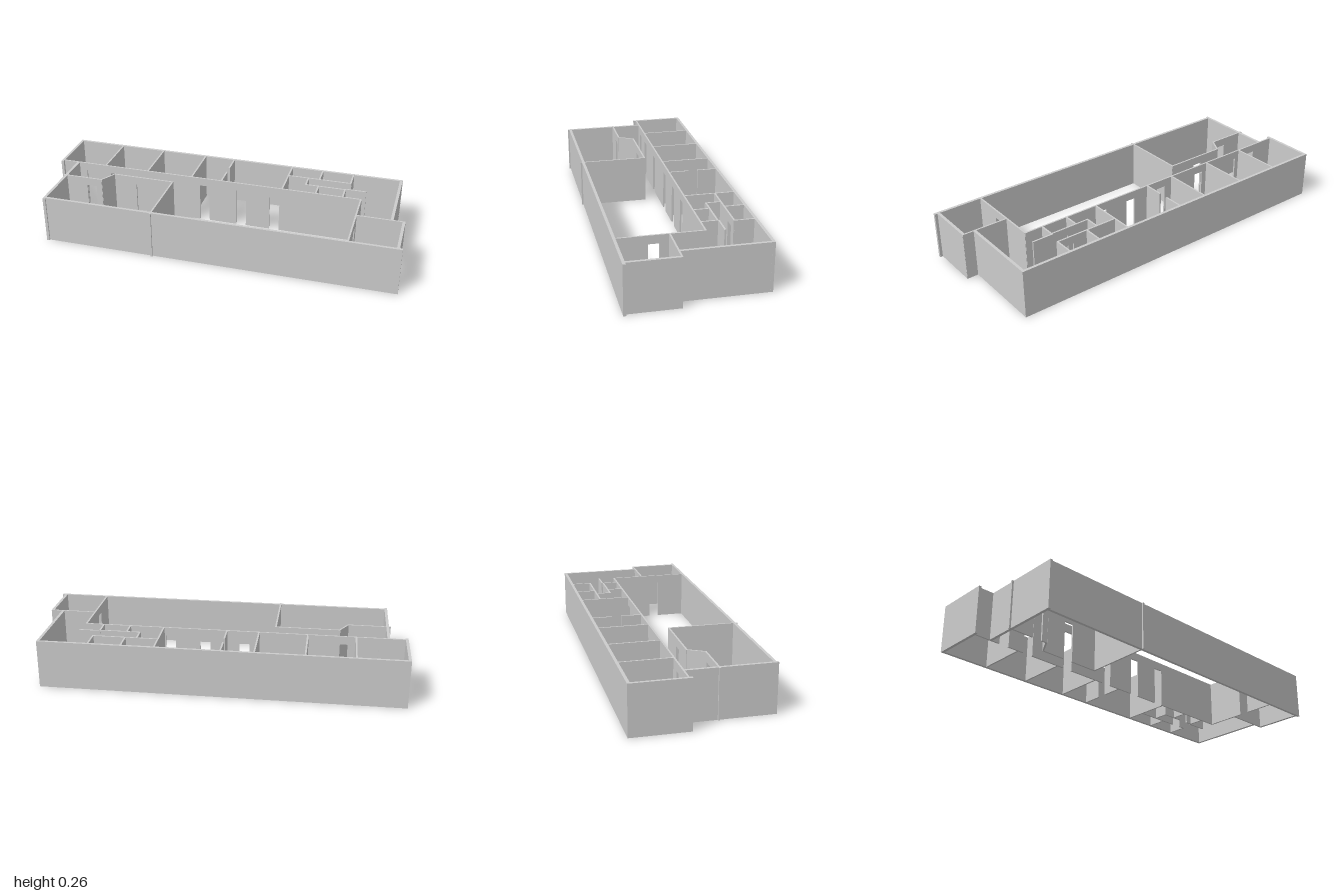
import * as THREE from 'three';

const HEIGHT = 0.26;
const DOOR_HEIGHT = 0.215;
const DOOR_WIDTH = 0.055;
const OUTER = 0.015;
const INNER = 0.009;
const material = new THREE.MeshStandardMaterial({ color: 0xcccccc, flatShading: true });

// Upright wall from (x0, z0) to (x1, z1); doors are start distances along it, in order
function wall(name, [x0, z0, x1, z1], thickness, doors = []) {
  const length = Math.hypot(x1 - x0, z1 - z0);
  const shape = new THREE.Shape();
  shape.moveTo(0, 0);
  for (const d of doors) {
    shape.lineTo(d, 0);
    shape.lineTo(d, DOOR_HEIGHT);
    shape.lineTo(d + DOOR_WIDTH, DOOR_HEIGHT);
    shape.lineTo(d + DOOR_WIDTH, 0);
  }
  shape.lineTo(length, 0);
  shape.lineTo(length, HEIGHT);
  shape.lineTo(0, HEIGHT);
  shape.closePath();
  const geometry = new THREE.ExtrudeGeometry(shape, { depth: thickness, bevelEnabled: false });
  geometry.translate(0, 0, -thickness / 2);
  const mesh = new THREE.Mesh(geometry, material);
  mesh.name = name;
  mesh.position.set(x0, 0, z0);
  mesh.rotation.y = -Math.atan2(z1 - z0, x1 - x0);
  return mesh;
}

// Walls along x or z; doors are given by their x or z position
const alongX = (name, z, x0, x1, t, doors = []) => wall(name, [x0, z, x1, z], t, doors.map((d) => d - x0));
const alongZ = (name, x, z0, z1, t, doors = []) => wall(name, [x, z0, x, z1], t, doors.map((d) => d - z0));

export function createModel() {
  const model = new THREE.Group();
  model.name = 'floorPlan';

  // Outer shell
  const shell = new THREE.Group();
  shell.name = 'outerWalls';
  shell.add(
    alongX('backWall', -0.362, -1, 0.925, OUTER),
    alongX('frontWall', 0.353, -0.905, 1, OUTER),
    alongZ('rightBackWall', -0.9925, -0.369, -0.07, OUTER),
    alongZ('rightFrontWall', -0.898, -0.09, 0.368, OUTER),
    alongZ('leftBackWall', 0.917, -0.369, 0.09, OUTER),
    alongZ('leftFrontWall', 0.978, 0.085, 0.36, OUTER),
    alongX('leftStepWall', 0.087, 0.73, 0.985, INNER),
  );

  // Corridor wall with a door to each back room
  const rooms = new THREE.Group();
  rooms.name = 'backRooms';
  rooms.add(alongX('corridorWall', -0.088, -0.985, 0.735, INNER,
    [-0.848, -0.7, -0.44, -0.165, 0.047, 0.236]));
  for (const x of [-0.73, -0.475, -0.215, 0.302]) {
    rooms.add(alongZ('roomPartition', x, -0.355, -0.088, INNER));
  }
  // Partition split by an open passage
  rooms.add(
    alongZ('splitPartitionBack', -0.042, -0.355, -0.25, INNER),
    alongZ('splitPartitionFront', -0.042, -0.2, -0.088, INNER),
  );

  // Small service rooms
  const service = new THREE.Group();
  service.name = 'serviceRooms';
  service.add(
    alongX('serviceBackWall', -0.253, 0.302, 0.656, INNER, [0.56]),
    alongX('serviceMiddleWall', -0.174, 0.412, 0.637, INNER, [0.54]),
    alongX('serviceScreen', -0.18, 0.633, 0.748, INNER),
    alongZ('servicePartition', 0.478, -0.355, -0.253, INNER),
    alongZ('servicePartition', 0.652, -0.355, -0.253, INNER),
    alongZ('servicePartition', 0.416, -0.253, -0.174, INNER),
    alongZ('servicePartition', 0.487, -0.174, -0.088, INNER),
    alongZ('servicePartition', 0.634, -0.18, -0.088, INNER),
  );

  // Front rooms on either side of the hall
  const front = new THREE.Group();
  front.name = 'frontRooms';
  front.add(
    alongX('entryWall', 0.081, -0.915, -0.685, INNER, [-0.772]),
    wall('angledWall', [-0.687, 0.082, -0.641, 0], INNER),
    alongX('frontRoomWall', -0.001, -0.643, -0.294, INNER, [-0.511]),
    alongZ('hallRightWall', -0.298, -0.005, 0.369, INNER),
    alongZ('hallLeftWall', 0.732, -0.09, 0.35, INNER, [0.137]),
  );

  model.add(shell, rooms, service, front);
  return model;
}
